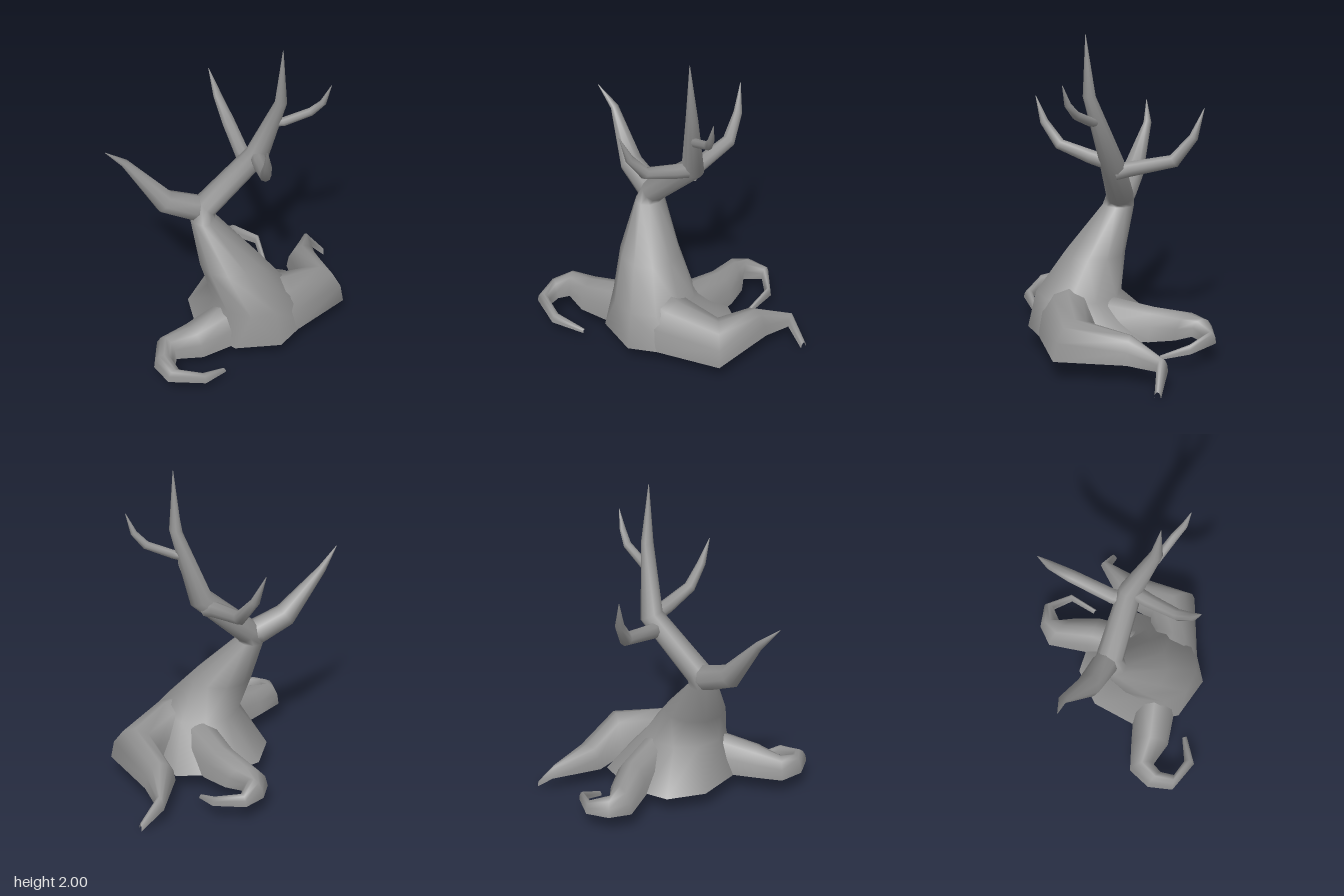
import * as THREE from 'three';

const material = new THREE.MeshStandardMaterial({ color: 0x929292, side: THREE.DoubleSide });

// Skins a list of equal-length cross-sections into one smooth surface.
function loft(name, rings, closed) {
  const n = rings[0].length, index = [];
  for (let i = 0; i < rings.length - 1; i++) {
    for (let j = 0; j < (closed ? n : n - 1); j++) {
      const a = i * n + j, b = i * n + (j + 1) % n;
      index.push(a, b, a + n, b, b + n, a + n);
    }
  }
  const geo = new THREE.BufferGeometry();
  geo.setAttribute('position', new THREE.Float32BufferAttribute(
    rings.flat().flatMap(p => [p.x, p.y, p.z]), 3));
  geo.setIndex(index);
  geo.computeVertexNormals();
  const mesh = new THREE.Mesh(geo, material);
  mesh.name = name;
  return mesh;
}

// Tapered round limb through stations [x, y, z, radius].
function limb(name, stations, sides = 8) {
  const pts = stations.map(s => new THREE.Vector3(s[0], s[1], s[2]));
  const normal = new THREE.Vector3(), last = pts.length - 1;
  let previous = null;
  const rings = pts.map((p, i) => {
    const before = pts[i].clone().sub(pts[Math.max(i - 1, 0)]).normalize();
    const after = pts[Math.min(i + 1, last)].clone().sub(p).normalize();
    const t = before.add(after).normalize();
    if (!previous) {
      normal.set(0, 1, 0).cross(t).normalize();
    } else {
      normal.applyQuaternion(new THREE.Quaternion().setFromUnitVectors(previous, t));
    }
    previous = t;
    const side = t.clone().cross(normal);
    return Array.from({ length: sides }, (_, j) => {
      const a = j / sides * Math.PI * 2, r = stations[i][3];
      return p.clone().addScaledVector(normal, Math.cos(a) * r).addScaledVector(side, Math.sin(a) * r);
    });
  });
  return loft(name, rings, true);
}

// Arched root, open underneath: stations [x1, z1, x2, z2, bottom, top].
function root(name, stations, steps = 6) {
  return loft(name, stations.map(([x1, z1, x2, z2, bottom, top]) =>
    Array.from({ length: steps + 1 }, (_, j) => {
      const a = j / steps * Math.PI, k = (1 - Math.cos(a)) / 2;
      return new THREE.Vector3(x1 + (x2 - x1) * k, bottom + (top - bottom) * Math.sin(a), z1 + (z2 - z1) * k);
    })), false);
}

export function createModel() {
  const tree = new THREE.Group();
  tree.name = 'deadTree';

  // Trunk and main stem: sections [x, y, z, rx, rz, drop towards +x]
  // from the top spike down to an irregular open foot
  const foot = [[0.42, 0.05], [0.38, 0.33], [0.15, 0.5], [-0.13, 0.45], [-0.31, 0.2],
    [-0.29, -0.08], [-0.13, -0.27], [0.02, -0.29], [0.22, -0.26], [0.4, -0.18]];
  const trunk = [
    [0.255, 2, 0.1, 0.002, 0.002, 0],
    [0.255, 1.64, 0.08, 0.037, 0.038, 0],
    [0.148, 1.222, -0.03, 0.064, 0.072, 0.034],
    [-0.18, 0.92, -0.01, 0.053, 0.085, 0.056],
    [-0.207, 0.85, 0.005, 0.079, 0.1, 0],
    [-0.07, 0.58, 0.125, 0.19, 0.19, 0],
    [0.05, 0.36, 0.2, 0.25, 0.265, 0],
  ].map(([x, y, z, rx, rz, drop]) => foot.map((_, j) => {
    const a = j / foot.length * Math.PI * 2;
    return new THREE.Vector3(x + Math.cos(a) * rx, y - Math.cos(a) * drop, z + Math.sin(a) * rz);
  }));
  trunk.push(foot.map(([x, z]) => new THREE.Vector3(x, 0.135, z)));
  tree.add(loft('trunk', trunk, true));

  // Side branches
  tree.add(
    limb('rightBranch', [[-0.18, 0.885, -0.015, 0.055], [-0.245, 0.91, -0.018, 0.082],
      [-0.43, 0.985, -0.035, 0.074], [-0.65, 1.27, -0.09, 0.026], [-0.77, 1.39, -0.06, 0.002]]),
    limb('leftTwig', [[0.23, 1.48, 0.04, 0.027], [0.28, 1.495, 0.07, 0.028],
      [0.43, 1.565, 0.115, 0.026], [0.49, 1.64, 0.15, 0.02], [0.53, 1.76, 0.17, 0.002]]),
    limb('frontBranch', [[0.15, 1.215, -0.02, 0.048], [0.125, 1.24, 0.1, 0.045],
      [0.095, 1.3, 0.3, 0.036], [0.075, 1.43, 0.4, 0.026], [0.055, 1.58, 0.455, 0.002]]),
    limb('backBranch', [[0.11, 1.15, -0.04, 0.052], [0.085, 1.165, -0.12, 0.048],
      [0.075, 1.23, -0.39, 0.042], [0.035, 1.37, -0.5, 0.028], [-0.005, 1.54, -0.555, 0.002]]),
  );

  // Roots spreading over the ground, with tips bending down
  const g = 0.135;
  tree.add(
    root('leftRoot', [[0.18, 0.02, 0.16, 0.42, g, 0.44], [0.28, 0.02, 0.28, 0.4, g, 0.425],
      [0.41, 0, 0.66, 0.21, g, 0.36], [0.42, -0.22, 0.625, -0.22, g, 0.285],
      [0.615, -0.465, 0.64, -0.4, 0.12, 0.2], [0.755, -0.45, 0.75, -0.41, 0.005, 0.045]]),
    root('rightRoot', [[-0.08, 0.44, -0.1, 0.1, g, 0.36], [-0.14, 0.42, -0.25, 0.18, g, 0.345],
      [-0.34, 0.47, -0.43, 0.25, g, 0.3], [-0.5, 0.44, -0.6, 0.32, g, 0.27],
      [-0.53, 0.51, -0.65, 0.47, g, 0.24], [-0.51, 0.59, -0.6, 0.62, g, 0.21],
      [-0.39, 0.61, -0.38, 0.675, 0.115, 0.165], [-0.24, 0.53, -0.22, 0.555, 0.06, 0.08]]),
    root('backRoot', [[0, -0.02, 0.28, -0.02, g, 0.37], [0.01, -0.28, 0.25, -0.28, g, 0.32],
      [-0.05, -0.53, 0.19, -0.43, g, 0.27], [0.04, -0.64, 0.11, -0.52, g, 0.245],
      [0.18, -0.68, 0.19, -0.61, g, 0.21], [0.335, -0.55, 0.3, -0.53, 0.115, 0.17],
      [0.33, -0.36, 0.3, -0.37, 0.06, 0.085]]),
  );
  return tree;
}
